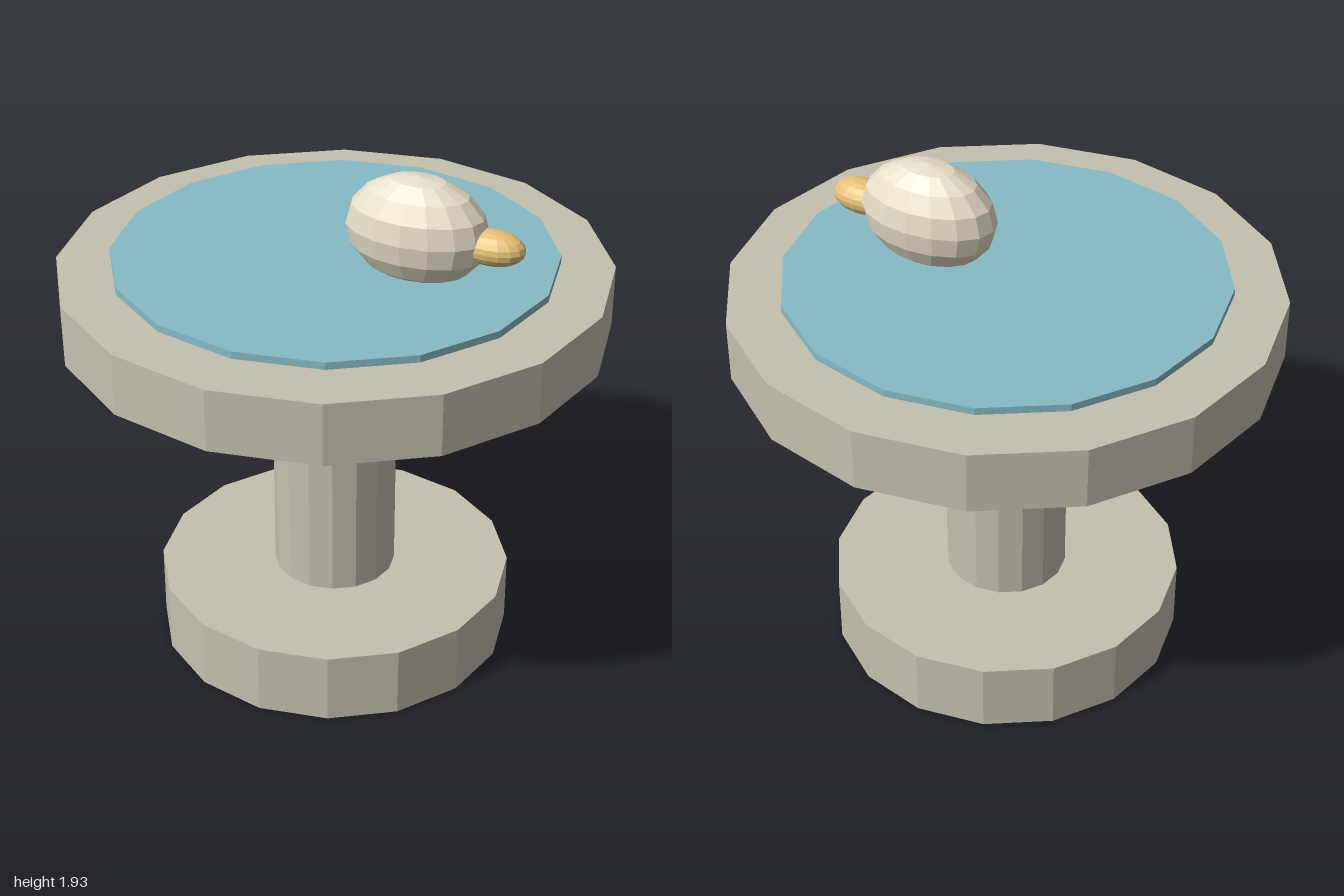
import * as THREE from 'three';

const material = (color) => new THREE.MeshStandardMaterial({ color, flatShading: true });

export function createModel() {
  const model = new THREE.Group();
  model.name = 'birdBath';

  const stone = material(0xc4c1b0);
  const water = material(0x86bcc6);
  const plumage = material(0xe6dfc8);
  const horn = material(0xe6c078);

  // Sixteen-sided disc or post between two heights
  const disc = (name, radius, bottom, top, mat) => {
    const mesh = new THREE.Mesh(new THREE.CylinderGeometry(radius, radius, top - bottom, 16), mat);
    mesh.name = name;
    mesh.position.y = (bottom + top) / 2;
    model.add(mesh);
  };

  // Faceted ellipsoid
  const ellipsoid = (name, radii, position, columns, rows, mat) => {
    const geometry = new THREE.SphereGeometry(1, columns, rows).scale(...radii);
    const mesh = new THREE.Mesh(geometry, mat);
    mesh.name = name;
    mesh.position.set(...position);
    return mesh;
  };

  // Pedestal and basin; the water sheet sits just clear of the basin top
  disc('base', 0.667, 0, 0.27, stone);
  disc('column', 0.23, 0.27, 1.305, stone);
  disc('basin', 1, 1.305, 1.535, stone);
  disc('water', 0.805, 1.549, 1.576, water);

  // Bird facing +x, partly sunk in the water
  const bird = new THREE.Group();
  bird.name = 'bird';
  bird.add(
    ellipsoid('body', [0.265, 0.2, 0.165], [0.315, 1.73, 0], 16, 8, plumage),
    ellipsoid('beak', [0.12, 0.063, 0.074], [0.595, 1.715, 0], 16, 10, horn)
  );
  model.add(bird);

  return model;
}
